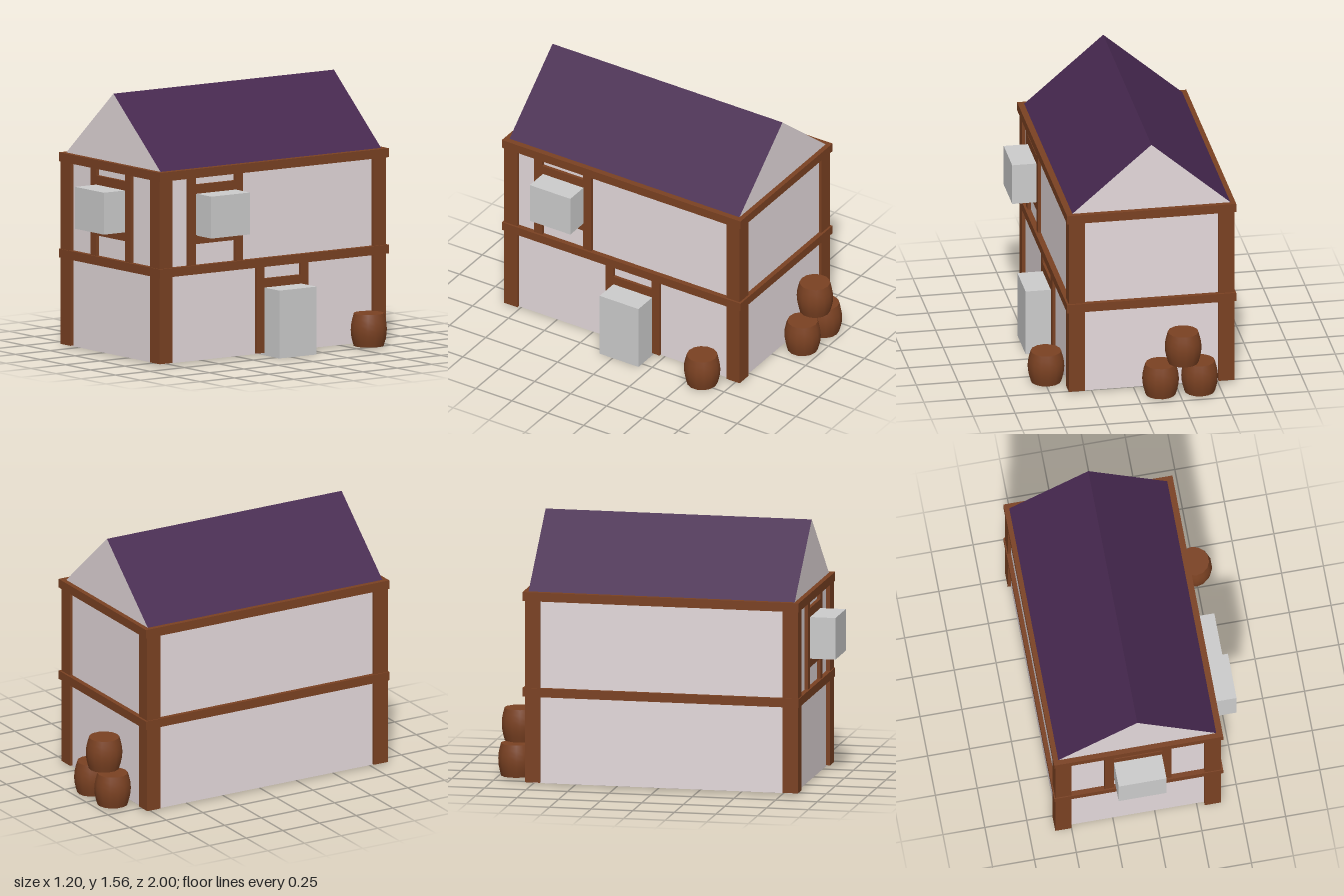
import * as THREE from 'three';

const mat = (color) => new THREE.MeshStandardMaterial({ color });
const WOOD = mat(0x7a4122);
const PLASTER = mat(0xe4d9db);
const ROOF = mat(0x46284f);
const GREY = mat(0xcccccc);
PLASTER.side = ROOF.side = THREE.DoubleSide;

// Box given by its limits on each axis
function box(parent, name, material, [x0, x1], [y0, y1], [z0, z1]) {
  const mesh = new THREE.Mesh(new THREE.BoxGeometry(x1 - x0, y1 - y0, z1 - z0), material);
  mesh.position.set((x0 + x1) / 2, (y0 + y1) / 2, (z0 + z1) / 2);
  mesh.name = name;
  parent.add(mesh);
  return mesh;
}

// Four boxes around a rectangle, t thick
function ring(parent, name, material, [x0, x1], y, [z0, z1], t) {
  const group = new THREE.Group();
  group.name = name;
  parent.add(group);
  box(group, name + 'Left', material, [x1 - t, x1], y, [z0, z1]);
  box(group, name + 'Right', material, [x0, x0 + t], y, [z0, z1]);
  box(group, name + 'Front', material, [x0 + t, x1 - t], y, [z1 - t, z1]);
  box(group, name + 'Back', material, [x0 + t, x1 - t], y, [z0, z0 + t]);
}

// Barrel with bulging staves, standing on its base
function barrel(parent, x, y, z) {
  const r = 0.09, bulge = 0.018, h = 0.193, side = [];
  for (let i = 0; i <= 6; i++) {
    side.push(new THREE.Vector2(r + bulge * Math.sin((Math.PI * i) / 6), (h * i) / 6));
  }
  const group = new THREE.Group();
  group.name = 'barrel';
  const staves = new THREE.Mesh(new THREE.LatheGeometry(side, 14), WOOD);
  staves.name = 'barrelStaves';
  group.add(staves);
  for (const top of [true, false]) {
    const lid = new THREE.Mesh(new THREE.CircleGeometry(r, 14, Math.PI / 2), WOOD);
    lid.rotation.x = top ? -Math.PI / 2 : Math.PI / 2;
    lid.position.y = top ? h : 0;
    lid.name = top ? 'barrelLid' : 'barrelBase';
    group.add(lid);
  }
  group.position.set(x, y, z);
  parent.add(group);
}

export function createModel() {
  const house = new THREE.Group();
  house.name = 'timberHouse';
  const wx = [-0.579, 0.371], wz = [-0.773, 0.827];

  // Plaster walls and floor
  ring(house, 'wall', PLASTER, wx, [0.01, 1.12], wz, 0.025);
  box(house, 'floor', WOOD, [-0.554, 0.346], [0.012, 0.03], [-0.748, 0.802]);

  // Corner posts and horizontal beams
  for (const x of [[-0.598, -0.502], [0.294, 0.392]])
    for (const z of [[-0.79, -0.7], [0.757, 0.851]])
      box(house, 'cornerPost', WOOD, x, [0.015, 1.11], z);
  for (const y of [[0.528, 0.58], [1.1, 1.153]])
    ring(house, 'beam', WOOD, [-0.605, 0.404], y, [-0.803, 0.857], 0.06);

  // Front window frame and block
  const fz = [0.79, 0.848];
  for (const x of [[-0.302, -0.248], [0.042, 0.096]])
    box(house, 'frontWindowPost', WOOD, x, [0.57, 1.11], fz);
  for (const y of [[0.703, 0.758], [1.003, 1.058]])
    box(house, 'frontWindowRail', WOOD, [-0.248, 0.042], y, fz);
  box(house, 'frontWindow', GREY, [-0.247, 0.039], [0.755, 1.004], [0.62, 1]);

  // Side window frame and block
  const sx = [0.335, 0.39];
  for (const z of [[0.586, 0.642], [0.245, 0.3]])
    box(house, 'sideWindowPost', WOOD, sx, [0.57, 1.11], z);
  for (const y of [[0.705, 0.758], [1.003, 1.058]])
    box(house, 'sideWindowRail', WOOD, sx, y, [0.3, 0.586]);
  box(house, 'sideWindow', GREY, [0.16, 0.534], [0.755, 1.004], [0.298, 0.58]);

  // Door frame and block
  for (const z of [[0.09, 0.145], [-0.23, -0.176]])
    box(house, 'doorPost', WOOD, sx, [0.015, 0.54], z);
  box(house, 'doorLintel', WOOD, sx, [0.402, 0.456], [-0.176, 0.09]);
  box(house, 'door', GREY, [0.16, 0.54], [0, 0.403], [-0.18, 0.09]);

  // Gable roof
  const eave = 1.15, peak = 1.56, mid = (wx[0] + wx[1]) / 2, half = (wx[1] - wx[0]) / 2;
  const gable = new THREE.Shape([
    new THREE.Vector2(-half, eave), new THREE.Vector2(half, eave), new THREE.Vector2(0, peak),
  ]);
  for (const front of [true, false]) {
    const mesh = new THREE.Mesh(new THREE.ShapeGeometry(gable), PLASTER);
    mesh.rotation.y = front ? 0 : Math.PI;
    mesh.position.set(mid, 0, front ? wz[1] : wz[0]);
    mesh.name = front ? 'frontGable' : 'backGable';
    house.add(mesh);
  }
  const rise = peak - eave;
  for (const s of [1, -1]) {
    const geo = new THREE.PlaneGeometry(Math.hypot(half, rise), wz[1] - wz[0]);
    geo.rotateX(-Math.PI / 2).rotateZ(-s * Math.atan2(rise, half));
    const slope = new THREE.Mesh(geo, ROOF);
    slope.position.set(mid + (s * half) / 2, (eave + peak) / 2, (wz[0] + wz[1]) / 2);
    slope.name = s > 0 ? 'roofLeft' : 'roofRight';
    house.add(slope);
  }

  // Barrels: one by the side wall, three stacked at the back
  barrel(house, 0.493, 0.011, -0.593);
  barrel(house, -0.37, 0.011, -0.892);
  barrel(house, -0.137, 0.011, -0.892);
  barrel(house, -0.272, 0.204, -0.892);
  return house;
}
